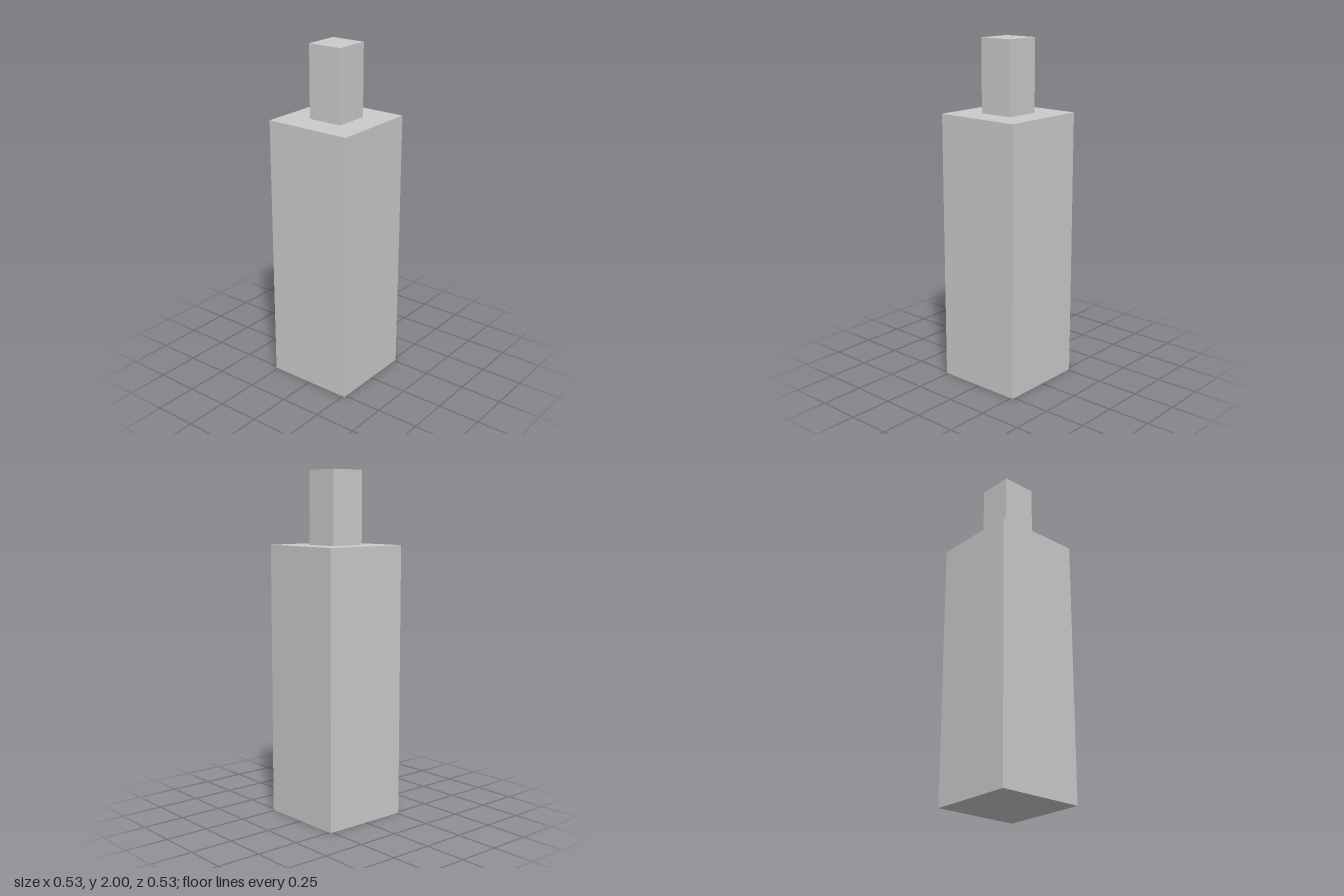
import * as THREE from 'three';

const material = new THREE.MeshStandardMaterial({ color: 0xcccccc, flatShading: true });

// Square block standing on height y
function block(name, width, height, y) {
  const mesh = new THREE.Mesh(new THREE.BoxGeometry(width, height, width), material);
  mesh.name = name;
  mesh.position.y = y + height / 2;
  return mesh;
}

export function createModel() {
  const group = new THREE.Group();
  group.name = 'squareBottle';
  const bodyHeight = 1.579;

  // Tall square body with a narrow square neck centred on top
  group.add(block('body', 0.526, bodyHeight, 0));
  group.add(block('neck', 0.21, 2 - bodyHeight, bodyHeight));
  return group;
}
